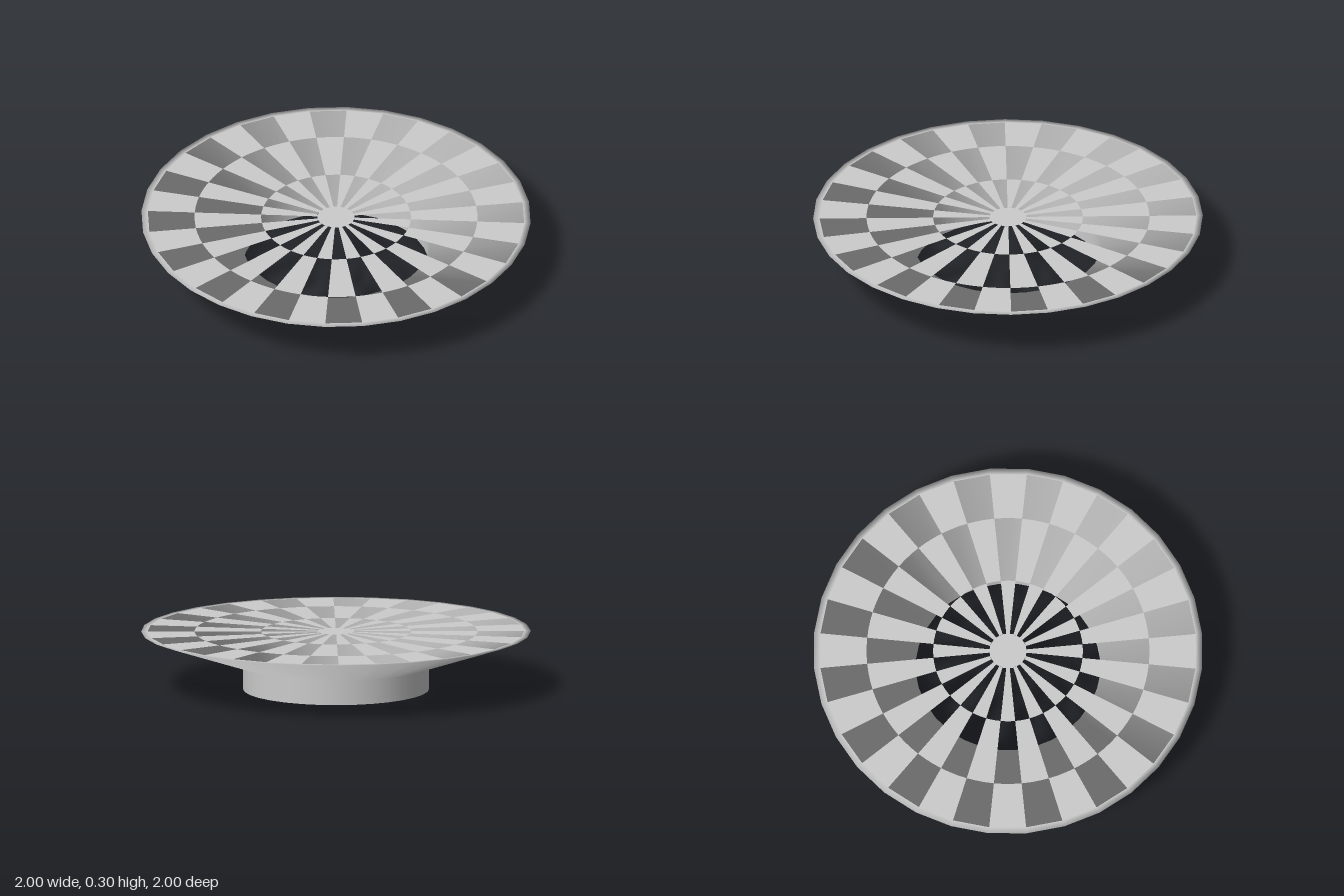
import * as THREE from 'three';
import { mergeGeometries } from 'three/addons/utils/BufferGeometryUtils.js';

const SIDES = 32;
const STEP = (Math.PI * 2) / SIDES;
const TOP = 0.3;
const LIP = 0.967;

// Outlet pipe, flared funnel and flat lip in one smooth shell.
// Normals point straight outwards, and roll over to face up at the lip's inner edge.
function funnelGeometry() {
  const profile = [[0.478, 0], [0.478, 0.125], [1, TOP], [LIP, TOP]];
  const geometry = new THREE.LatheGeometry(profile.map(([r, y]) => new THREE.Vector2(r, y)), SIDES);
  const { position, normal } = geometry.attributes;
  for (let i = 0; i < position.count; i++) {
    const x = position.getX(i);
    const z = position.getZ(i);
    const r = Math.hypot(x, z);
    if (i % profile.length === profile.length - 1) normal.setXYZ(i, 0, 1, 0);
    else normal.setXYZ(i, x / r, 0, z / r);
  }
  return geometry;
}

// One flat grate plate, a single sector wide, facing up
function plateGeometry(r0, r1, sector) {
  return new THREE.RingGeometry(r0, r1, 1, 1, -(sector + 1) * STEP, STEP)
    .rotateX(-Math.PI / 2)
    .translate(0, TOP, 0);
}

export function createModel() {
  const group = new THREE.Group();
  const material = new THREE.MeshStandardMaterial({ color: 0xcccccc, side: THREE.DoubleSide });

  const add = (name, geometry) => {
    const mesh = new THREE.Mesh(geometry, material);
    mesh.name = name;
    group.add(mesh);
  };

  add('funnel', funnelGeometry());

  // Grate: three rings of alternating plates and openings
  const rings = [
    { name: 'innerGrateBars', r0: 0.095, r1: 0.384, parity: 1 },
    { name: 'middleGratePlates', r0: 0.384, r1: 0.726, parity: 0 },
    { name: 'outerGratePlates', r0: 0.726, r1: LIP, parity: 1 },
  ];
  for (const { name, r0, r1, parity } of rings) {
    const plates = [];
    for (let i = parity; i < SIDES; i += 2) plates.push(plateGeometry(r0, r1, i));
    add(name, mergeGeometries(plates));
  }

  // Solid hub at the centre of the grate
  add('grateHub', new THREE.CircleGeometry(0.095, SIDES).rotateX(-Math.PI / 2).translate(0, TOP, 0));

  return group;
}
